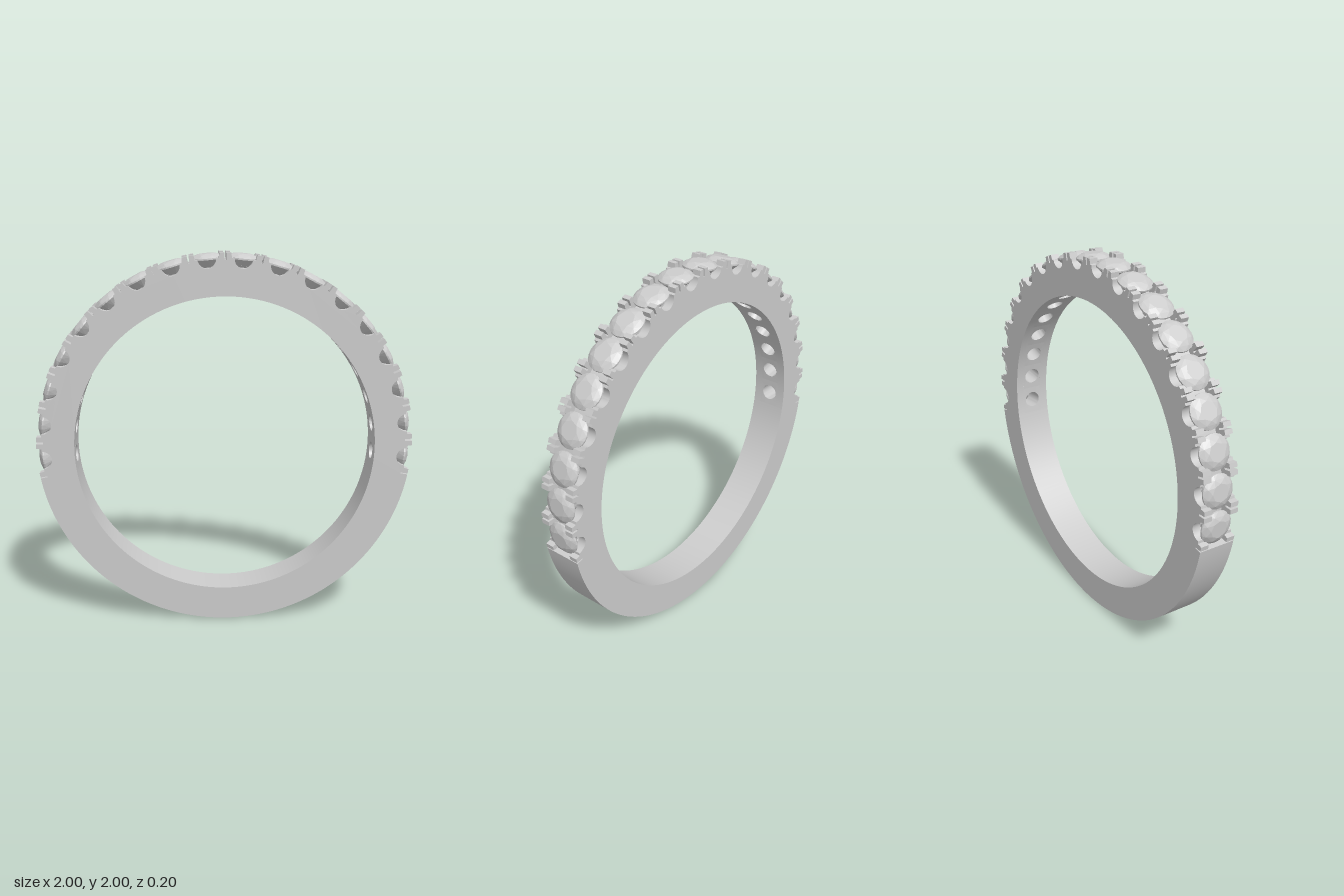
import * as THREE from 'three';
import { ConvexGeometry } from 'three/addons/geometries/ConvexGeometry.js';
import { toCreasedNormals } from 'three/addons/utils/BufferGeometryUtils.js';

const STONES = 18;
const STEP = THREE.MathUtils.degToRad(11.15); // angle taken by one stone
const END = STEP * STONES / 2;                // set part runs from -END to END, 0 = top
const HALF = 0.1;                             // half width of the band
const SLOT = 0.055;                           // half width of the channel between the prong rows
const FLOOR = 0.935;                          // channel floor radius
const HOLE = 0.045;

const metal = new THREE.MeshStandardMaterial({ color: 0xcccccc });
const open = new THREE.MeshStandardMaterial({ color: 0xcccccc, side: THREE.DoubleSide });
const gem = new THREE.MeshStandardMaterial({ color: 0xcccccc, flatShading: true });

// The finger hole sits slightly low, so the band is thicker at the top
const innerRadius = a => -0.02 * Math.cos(a) + Math.sqrt(0.64 - (0.02 * Math.sin(a)) ** 2);
const polar = (a, r) => new THREE.Vector2(r * Math.sin(a), r * Math.cos(a));
const stoneAngle = i => (i - (STONES - 1) / 2) * STEP;

function arc(from, to, n, radius) {
  const pts = [];
  for (let i = 0; i <= n; i++) {
    const a = from + (to - from) * i / n;
    pts.push(polar(a, radius(a)));
  }
  return pts;
}

function slab(points, z, depth) {
  const geo = new THREE.ExtrudeGeometry(new THREE.Shape(points), { depth, bevelEnabled: false });
  geo.translate(0, 0, z);
  return toCreasedNormals(geo, 0.4);
}

// Outer edge of a side wall: split prongs with a round scallop under every stone
function scallopedEdge() {
  const w = STEP / 2, pts = [];
  for (let i = 0; i < STONES; i++) {
    const c = stoneAngle(i);
    const add = (t, r) => pts.push(polar(c + t, r));
    add(-w, 0.962);
    add(-w + 0.005, 0.962);
    add(-w + 0.006, 1);
    add(-0.067, 1);
    add(-0.063, 0.974);
    for (let k = 0; k <= 14; k++) {
      const p = Math.PI * k / 14;
      add(-0.049 * Math.cos(p), 0.972 - 0.049 * Math.sin(p));
    }
    add(0.063, 0.974);
    add(0.067, 1);
    add(w - 0.006, 1);
    add(w - 0.005, 0.962);
  }
  pts.push(polar(END, 0.962));
  return pts;
}

// One cell of the channel: inner face, drilled hole and floor, joined from four loops
function seatGeometry(centre) {
  const n = 32, loops = [[], [], [], []], pos = [];
  for (let i = 0; i <= n; i++) {
    const p = Math.PI * 2 * i / n, c = Math.cos(p), s = Math.sin(p);
    const m = Math.max(Math.abs(c), Math.abs(s));
    const edge = centre + c / m * STEP / 2;
    const put = (k, a, r, z) => loops[k].push([r * Math.sin(a), r * Math.cos(a), z]);
    const low = centre + HOLE * c / 0.8, high = centre + HOLE * c / FLOOR;
    put(0, edge, innerRadius(edge), s / m * SLOT);
    put(1, low, innerRadius(low), HOLE * s);
    put(2, high, FLOOR, HOLE * s);
    put(3, edge, FLOOR, s / m * SLOT);
  }
  for (let k = 0; k < 3; k++) for (let i = 0; i < n; i++) {
    const a = loops[k][i], b = loops[k][i + 1], c = loops[k + 1][i], d = loops[k + 1][i + 1];
    pos.push(...a, ...b, ...c, ...b, ...d, ...c);
  }
  const geo = new THREE.BufferGeometry();
  geo.setAttribute('position', new THREE.Float32BufferAttribute(pos, 3));
  return toCreasedNormals(geo, 0.6);
}

// Round brilliant cut, girdle at y = 0
function stoneGeometry() {
  const pts = [new THREE.Vector3(0, -0.082, 0)];
  const ring = (n, r, y, turn = 0) => {
    for (let i = 0; i < n; i++) {
      const a = (i + turn) / n * Math.PI * 2;
      pts.push(new THREE.Vector3(r * Math.cos(a), y, r * Math.sin(a)));
    }
  };
  ring(8, 0.047, -0.044, 0.5);
  ring(24, 0.088, -0.004);
  ring(24, 0.088, 0.004);
  ring(8, 0.071, 0.018, 0.5);
  ring(8, 0.047, 0.027);
  return new ConvexGeometry(pts);
}

export function createModel() {
  const ring = new THREE.Group();
  ring.name = 'ring';
  const add = (name, geo, mat) => {
    const mesh = new THREE.Mesh(geo, mat);
    mesh.name = name;
    ring.add(mesh);
    return mesh;
  };

  // Plain lower part of the band
  const far = Math.PI * 2 - END;
  add('plainShank', slab([
    ...arc(END, far, 96, () => 1),
    ...arc(far, END, 96, innerRadius),
  ], -HALF, HALF * 2), metal);

  // Side walls carrying the prongs
  const wall = [...scallopedEdge(), ...arc(END, -END, STONES * 8, innerRadius)];
  add('frontProngWall', slab(wall, SLOT, HALF - SLOT), metal);
  add('backProngWall', slab(wall, -HALF, HALF - SLOT), metal);

  // Drilled seats and stones
  const cut = stoneGeometry();
  for (let i = 0; i < STONES; i++) {
    const a = stoneAngle(i);
    add('drilledSeat', seatGeometry(a), open);
    const stone = add('stone', cut, gem);
    stone.position.set(0.969 * Math.sin(a), 0.969 * Math.cos(a), 0);
    stone.rotation.z = -a;
  }

  ring.position.y = 1;
  const model = new THREE.Group();
  model.name = 'stoneSetRing';
  model.add(ring);
  return model;
}
